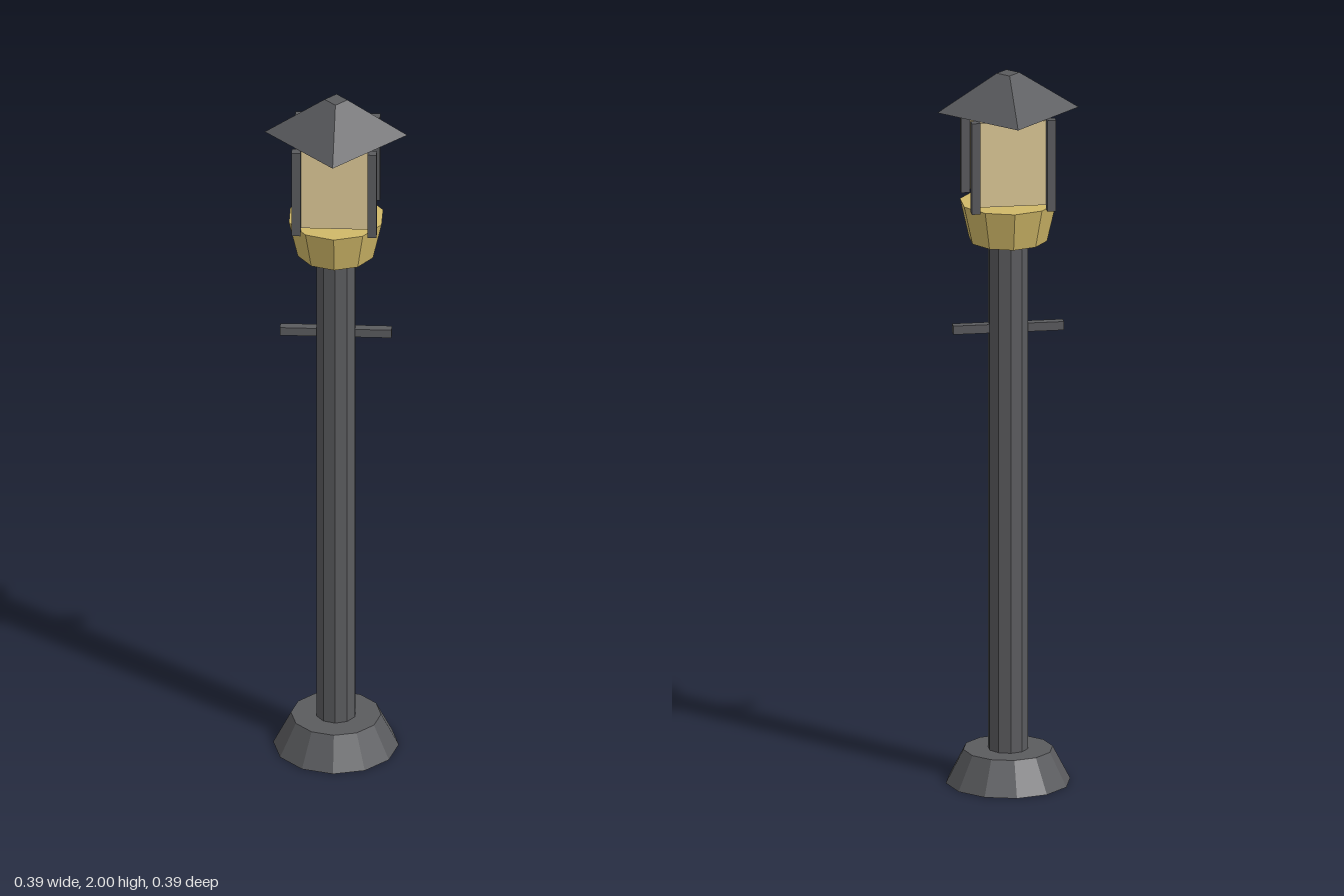
import * as THREE from 'three';

export function createModel() {
  const group = new THREE.Group();
  const make = (name, color) => {
    const m = new THREE.MeshStandardMaterial({ color, flatShading: true });
    m.name = name;
    return m;
  };
  const iron = make('dark iron', 0x5a5b5e);
  const brass = make('brass', 0xd0b868);
  const glass = make('warm glass', 0xdcc896);

  const add = (name, geometry, material, x, y, z) => {
    const mesh = new THREE.Mesh(geometry, material);
    mesh.name = name;
    mesh.position.set(x, y, z);
    group.add(mesh);
  };
  // Faceted frustum spanning y0 to y1
  const frustum = (name, material, rBottom, rTop, y0, y1, sides) =>
    add(name, new THREE.CylinderGeometry(rTop, rBottom, y1 - y0, sides), material, 0, (y0 + y1) / 2, 0);
  // Box spanning y0 to y1
  const box = (name, material, w, d, y0, y1, x = 0, z = 0) =>
    add(name, new THREE.BoxGeometry(w, y1 - y0, d), material, x, (y0 + y1) / 2, z);

  // Foot, pole and ladder bar
  frustum('base', iron, 0.17, 0.122, 0, 0.093, 12);
  frustum('pole', iron, 0.055, 0.055, 0.09, 1.645, 10);
  box('crossbar', iron, 0.302, 0.024, 1.27, 1.294);

  // Lantern: flared collar, glass block, corner posts
  frustum('collar', brass, 0.107, 0.132, 1.53, 1.638, 10);
  box('lanternGlass', glass, 0.182, 0.182, 1.65, 1.888);
  for (const x of [-0.103, 0.103])
    for (const z of [-0.103, 0.103])
      box('cornerPost', iron, 0.024, 0.024, 1.638, 1.895, x, z);

  // Roof with its corners on the x and z axes
  frustum('roof', iron, 0.193, 0.031, 1.895, 2, 4);

  return group;
}
